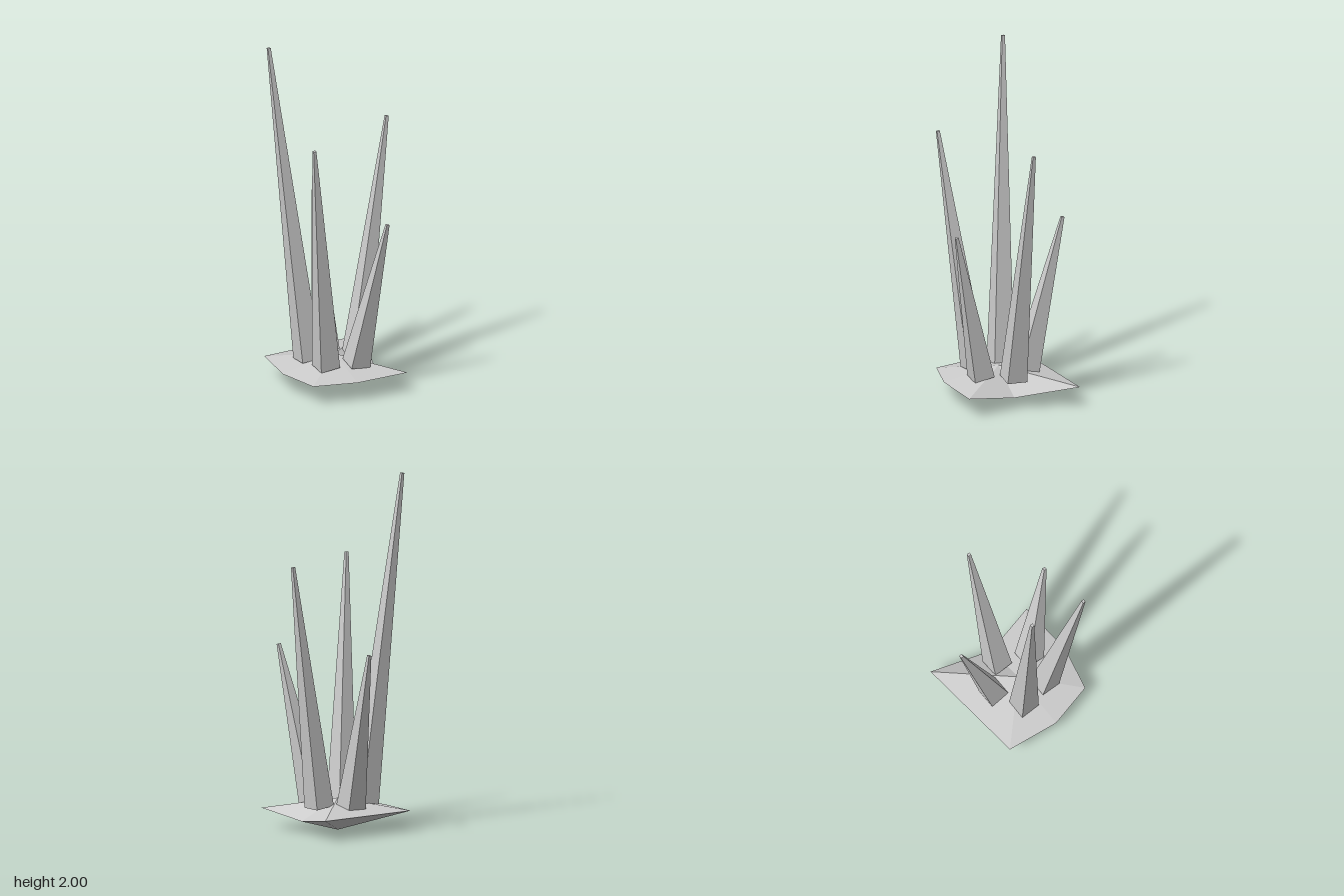
import * as THREE from 'three';

const material = new THREE.MeshStandardMaterial({ color: 0xcccccc, flatShading: true });

// Faceted rock: an irregular rim joined to a top and a bottom apex
function createRock() {
  const rim = [
    [-0.01, 0.115, 0.433], [0.205, 0.115, 0.298], [0.42, 0.115, 0.056], [0.17, 0.066, -0.113],
    [-0.01, 0.115, -0.435], [-0.42, 0.115, 0.056], [-0.235, 0.115, 0.295],
  ];
  const top = [-0.01, 0.18, 0.057];
  const bottom = [-0.01, 0, 0.057];
  const positions = [];
  rim.forEach((a, i) => {
    const b = rim[(i + 1) % rim.length];
    positions.push(...top, ...a, ...b, ...bottom, ...b, ...a);
  });
  const geometry = new THREE.BufferGeometry();
  geometry.setAttribute('position', new THREE.Float32BufferAttribute(positions, 3));
  geometry.computeVertexNormals();
  const rock = new THREE.Mesh(geometry, material);
  rock.name = 'rockBase';
  return rock;
}

// Four-sided tapering spike leaning from its foot to its tip
function createSpike(name, foot, tip) {
  const start = new THREE.Vector3(...foot);
  const end = new THREE.Vector3(...tip);
  const axis = end.clone().sub(start);
  const spike = new THREE.Mesh(new THREE.CylinderGeometry(0.012, 0.083, axis.length(), 4), material);
  spike.name = name;
  spike.position.copy(start).add(end).multiplyScalar(0.5);
  spike.quaternion.setFromUnitVectors(new THREE.Vector3(0, 1, 0), axis.normalize());
  return spike;
}

export function createModel() {
  const model = new THREE.Group();
  model.name = 'spikeCluster';
  model.add(
    createRock(),
    createSpike('frontSpike', [-0.01, 0.156, 0.205], [-0.007, 1.513, 0.422]),
    createSpike('tallRightSpike', [-0.152, 0.152, 0.105], [-0.356, 1.999, 0.174]),
    createSpike('shortLeftSpike', [0.135, 0.155, 0.103], [0.338, 1.025, 0.165]),
    createSpike('backLeftSpike', [0.077, 0.145, -0.07], [0.199, 1.513, -0.243]),
    createSpike('backRightSpike', [-0.103, 0.148, -0.07], [-0.229, 1.025, -0.238]),
  );
  return model;
}
